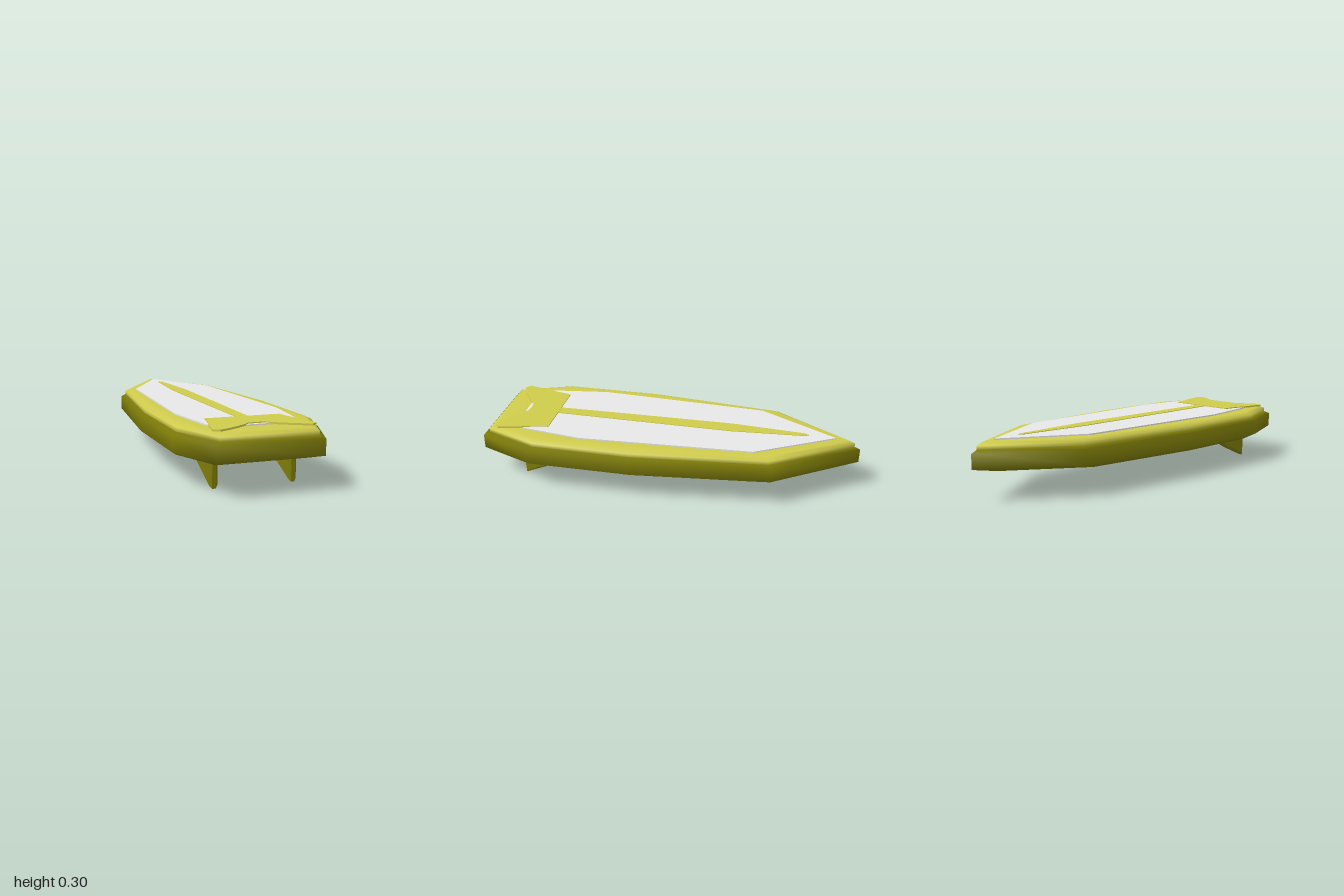
import * as THREE from 'three';

function flat(name, color) {
  const m = new THREE.MeshStandardMaterial({ color });
  m.name = name;
  return m;
}
const darkOlive = flat('darkOlive', 0x7e7c08);
const lightOlive = flat('lightOlive', 0xcfcb4c);
const paleGrey = flat('paleGrey', 0xe8e8e8);

// Right half of a plan outline from nose to tail, mirrored into a closed loop
const mirror = (half) => [
  ...half,
  ...half.filter(([x]) => x > 0).reverse().map(([x, z]) => [-x, z]),
];

const outline = mirror([[0, -1], [0.29, -0.56], [0.367, 0.17], [0.367, 0.71], [0.255, 1]]);

function meshFrom(positions, indices, material, name) {
  const g = new THREE.BufferGeometry();
  g.setAttribute('position', new THREE.Float32BufferAttribute(positions, 3));
  g.setIndex(indices);
  g.computeVertexNormals();
  const m = new THREE.Mesh(g, material);
  m.name = name;
  return m;
}

// Stack of scaled outlines [y, scaleX, scaleZ, shiftZ], closed at both ends
function loft(levels, material, name) {
  const n = outline.length, pos = [], idx = [];
  for (const [y, sx, sz, dz = 0] of levels)
    for (const [x, z] of outline) pos.push(x * sx, y, z * sz + dz);
  const last = (levels.length - 1) * n, bottom = levels.length * n, top = bottom + 1;
  pos.push(0, levels[0][0], 0, 0, levels[levels.length - 1][0], 0);
  for (let i = 0; i < n; i++) {
    const j = (i + 1) % n;
    for (let k = 0; k < last; k += n)
      idx.push(k + i, k + n + j, k + j, k + i, k + n + i, k + n + j);
    idx.push(bottom, i, j, top, last + j, last + i);
  }
  return meshFrom(pos, idx, material, name);
}

// Thin plate lying on the deck
function plate(points, y, thick, material, name) {
  const shape = new THREE.Shape(points.map(([x, z]) => new THREE.Vector2(x, -z)));
  const g = new THREE.ExtrudeGeometry(shape, { depth: thick, bevelEnabled: false });
  g.rotateX(-Math.PI / 2);
  const m = new THREE.Mesh(g, material);
  m.position.y = y;
  m.name = name;
  return m;
}

// Bulge under the hull, lens shaped in plan
function keel() {
  const section = [[0.078, 0], [0.075, 0.025], [0.062, 0.047], [0.04, 0.056], [0, 0.058],
    [-0.04, 0.056], [-0.062, 0.047], [-0.075, 0.025], [-0.078, 0]];
  // z, width factor, depth factor
  const stations = [[-0.55, 0, 0], [-0.2, 0.6, 0.5], [0.17, 1, 1], [0.45, 0.65, 0.5], [0.72, 0, 0]];
  const pos = [], idx = [], n = section.length;
  for (const [z, w, d] of stations)
    for (const [x, y] of section) pos.push(x * w, 0.136 - y * d, z);
  for (let s = 0; s < stations.length - 1; s++)
    for (let i = 0; i < n - 1; i++) {
      const a = s * n + i, b = a + 1, c = b + n, d = a + n;
      idx.push(a, c, b, a, d, c);
    }
  return meshFrom(pos, idx, darkOlive, 'keel');
}

// Swept fin with bevelled faces
function fin(side) {
  const pts = [[0.53, 0.145], [0.56, 0.115], [0.64, 0.072], [0.79, 0.006], [0.795, 0.145]];
  const shape = new THREE.Shape(pts.map(([z, y]) => new THREE.Vector2(-z, y)));
  const g = new THREE.ExtrudeGeometry(shape, {
    depth: 0.018, bevelThickness: 0.011, bevelSize: 0.012, bevelOffset: -0.006, bevelSegments: 1,
  });
  g.translate(0, 0, -0.009);
  g.rotateY(Math.PI / 2);
  const m = new THREE.Mesh(g, darkOlive);
  m.position.x = 0.197 * side;
  m.name = side > 0 ? 'leftFin' : 'rightFin';
  return m;
}

export function createModel() {
  const model = new THREE.Group();
  model.name = 'surfboard';

  // Board body and the raised deck
  model.add(loft([
    [0.133, 0.75, 0.76, 0.02], [0.133, 0.885, 0.875, 0.02], [0.162, 1, 1],
    [0.238, 1, 1], [0.252, 0.93, 0.97],
  ], darkOlive, 'hull'));
  model.add(loft([
    [0.246, 0.9, 0.95], [0.252, 0.93, 0.97], [0.272, 0.93, 0.97],
    [0.285, 0.86, 0.94], [0.285, 0.76, 0.85],
  ], lightOlive, 'deck'));

  // Deck inlay, centre stripe and tail pad
  model.add(plate(mirror([[0, -0.87], [0.225, -0.46], [0.27, 0.45], [0.225, 0.78], [0.13, 0.835]]),
    0.286, 0.007, paleGrey, 'deckPanel'));
  model.add(plate(mirror([[0, -0.73], [0.012, -0.71], [0.04, -0.32], [0.036, 0.2], [0.03, 0.66]]),
    0.29, 0.006, lightOlive, 'centreStripe'));
  model.add(plate(mirror([[0.19, 0.65], [0.205, 0.73], [0.225, 0.8], [0.25, 0.915], [0.22, 0.935],
    [0.16, 0.905], [0.075, 0.85], [0.045, 0.82], [0, 0.815]]),
    0.289, 0.009, lightOlive, 'tailPad'));

  // Underside
  model.add(keel());
  for (const side of [1, -1]) model.add(fin(side));
  return model;
}
